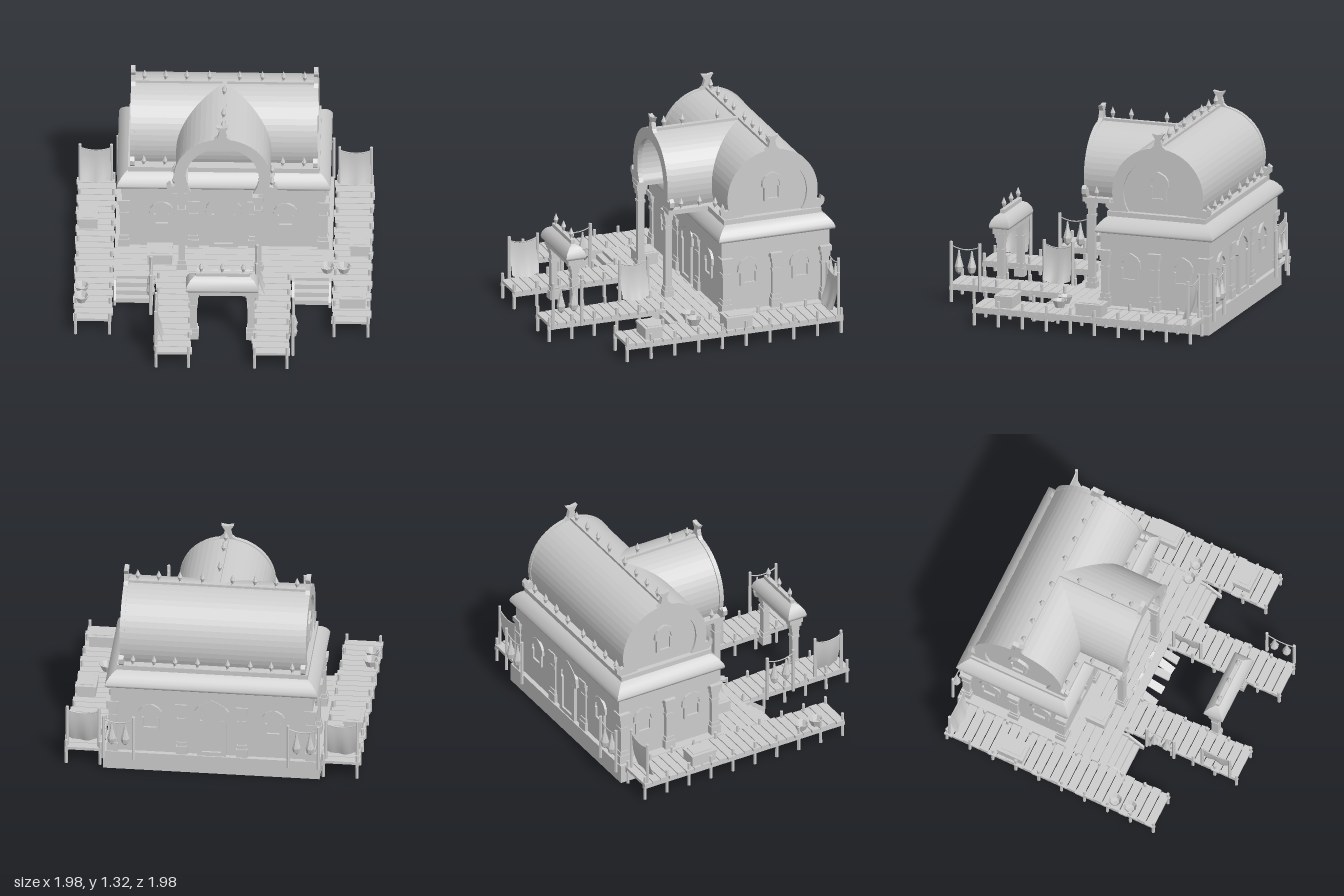
import * as THREE from 'three';

const grey = new THREE.MeshStandardMaterial({ color: 0xcccccc, side: THREE.DoubleSide });
const flat = new THREE.MeshStandardMaterial({ color: 0xcccccc, side: THREE.DoubleSide, flatShading: true });
const CZ = -0.525; // z of the main ridge

function place(parent, obj, name, x, y, z, ry = 0) {
  obj.name = name;
  obj.position.set(x, y, z);
  obj.rotation.y = ry;
  parent.add(obj);
  return obj;
}
const add = (p, name, geo, x = 0, y = 0, z = 0, mat = grey) => place(p, new THREE.Mesh(geo, mat), name, x, y, z);
const group = (p, name, x = 0, y = 0, z = 0, ry = 0) => place(p, new THREE.Group(), name, x, y, z, ry);
// Box given by its extents
const block = (p, name, x0, x1, y0, y1, z0, z1) =>
  add(p, name, new THREE.BoxGeometry(x1 - x0, y1 - y0, z1 - z0), (x0 + x1) / 2, (y0 + y1) / 2, (z0 + z1) / 2);
const vecs = pts => pts.map(p => new THREE.Vector2(...p));
const poly = pts => new THREE.Shape(vecs(pts));
const lathe = (pts, sides) => new THREE.LatheGeometry(vecs(pts), sides);
const extrude = (shape, depth) => new THREE.ExtrudeGeometry(shape, { depth, bevelEnabled: false });

// Horseshoe arch from right foot over the top to left foot
function horseshoe(r, cy, foot, n = 32) {
  const a0 = Math.asin((foot - cy) / r);
  return Array.from({ length: n + 1 }, (_, i) => {
    const a = a0 + (Math.PI - 2 * a0) * i / n;
    return [r * Math.cos(a), cy + r * Math.sin(a)];
  });
}
const archBand = (ro, ri, cy, foot) => poly([...horseshoe(ro, cy, foot), ...horseshoe(ri, cy, foot).reverse()]);

// Four curved slopes around a rectangle; profile is [outset, y]
function hipRoof(p, name, hx, hz, profile, x, z) {
  const g = group(p, name, x, 0, z);
  for (let k = 0; k < 4; k++) {
    const hn = k % 2 ? hx : hz, ht = k % 2 ? hz : hx, pos = [], idx = [];
    profile.forEach(([o, y], j) => {
      pos.push(-ht - o, y, hn + o, ht + o, y, hn + o);
      const b = 2 * j;
      if (j) idx.push(b - 2, b - 1, b + 1, b - 2, b + 1, b);
    });
    const geo = new THREE.BufferGeometry();
    geo.setAttribute('position', new THREE.Float32BufferAttribute(pos, 3));
    geo.setIndex(idx);
    geo.computeVertexNormals();
    add(g, 'roofSlope', geo).rotation.y = k * Math.PI / 2;
  }
}

const finialGeo = lathe([[0, 0], [0.011, 0.005], [0.007, 0.014], [0.018, 0.042], [0, 0.085]], 6);
const finial = (p, x, y, z) => add(p, 'finial', finialGeo, x, y, z, flat);

function column(p, x, z, y0, y1, w = 0.05) {
  const g = group(p, 'column', x, y0, z), h = y1 - y0;
  for (const [k, a, b] of [[1, 0, h], [1.5, 0, 0.06], [1.25, 0.06, 0.09], [1.2, h - 0.13, h - 0.11], [1.3, h - 0.07, h - 0.035], [1.65, h - 0.035, h]])
    block(g, 'columnTier', -w * k / 2, w * k / 2, a, b, -w * k / 2, w * k / 2);
}

// Arched window or door facing local +z, foot at y = 0
function archOpening(p, name, w, h, x, y, z, ry) {
  const g = group(p, name, x, y, z, ry), r = w / 2, t = w * 0.17;
  const outline = (r, top, foot) => {
    const half = [[0.8 * r, foot], [0.8 * r, top - r * 1.4], [r, top - r * 1.3], [0.95 * r, top - r * 0.75], [0.7 * r, top - r * 0.38], [0.3 * r, top - r * 0.14]];
    return [...half, [0, top], ...half.map(([a, b]) => [-a, b]).reverse()];
  };
  const frame = poly(outline(r, h, 0));
  frame.holes.push(new THREE.Path(vecs(outline(r - t, h - t * 1.3, t * 0.7))));
  add(g, 'archFrame', extrude(frame, 0.022));
  add(g, 'archPanel', extrude(poly(outline(r - t / 2, h - t / 2, 0.004)), 0.008));
}

// Horseshoe gable with flared crest and curled feet, facing local +z
function gable(p, x, z, ry, closed) {
  const g = group(p, 'gable', x, 0, z, ry);
  const crest = [[0.07, 1.2], [0.03, 1.235], [0.018, 1.28], [0.042, 1.32]];
  const foot = [[0.25, 0.765], [0.335, 0.765], [0.365, 0.795], [0.368, 0.83], [0.345, 0.85], [0.338, 0.82], [0.3, 0.83]];
  const mirror = pts => pts.map(([a, b]) => [-a, b]);
  add(g, 'gableArch', extrude(archBand(0.32, 0.243, 0.9, 0.77), 0.03));
  add(g, 'gableCrest', extrude(poly([...crest, [0, 1.312], ...mirror(crest).reverse()]), 0.03));
  for (const pts of [foot, mirror(foot)]) add(g, 'gableFoot', extrude(poly(pts), 0.03));
  if (closed) {
    add(g, 'gablePanel', extrude(poly(horseshoe(0.3, 0.9, 0.77)), 0.012));
    archOpening(g, 'gableWindow', 0.15, 0.2, 0, 0.86, 0.012, 0);
  }
}

const poleGeo = new THREE.CylinderGeometry(0.011, 0.012, 1, 6);
const pole = (p, x, z, y0, y1) => { add(p, 'post', poleGeo, x, (y0 + y1) / 2, z, flat).scale.y = y1 - y0; };

// Walkway of crosswise planks on posts
function walkway(p, x0, x1, z0, z1) {
  const g = group(p, 'walkway'), n = Math.round((z1 - z0) / 0.064), step = (z1 - z0) / n;
  for (let i = 0; i < n; i++) {
    const k = ((i * 7) % 5 - 2) * 0.003;
    block(g, 'plank', x0 + k, x1 + k, 0.108, 0.128, z0 + i * step, z0 + (i + 0.9) * step);
  }
  const m = Math.round((z1 - z0) / 0.17);
  for (const x of [x0 + 0.015, x1 - 0.015]) {
    block(g, 'joist', x - 0.01, x + 0.01, 0.085, 0.108, z0, z1);
    for (let i = 0; i <= m; i++) pole(g, x, z0 + 0.012 + (z1 - z0 - 0.024) * i / m, 0, 0.175);
  }
}

const bundleGeo = lathe([[0, 0], [0.022, 0.02], [0.03, 0.055], [0.012, 0.12], [0.005, 0.165]], 7);
// Two poles with a rope, carrying a cloth or two hanging bundles, along local x
function rack(p, name, w, x, z, ry, cloth) {
  const g = group(p, name, x, 0, z, ry);
  for (const s of [-1, 1]) pole(g, s * w / 2, 0, 0.1, 0.425);
  const rope = new THREE.QuadraticBezierCurve3(...[[-w / 2, 0.4, 0], [0, 0.35, 0], [w / 2, 0.4, 0]].map(a => new THREE.Vector3(...a)));
  add(g, 'rope', new THREE.TubeGeometry(rope, 10, 0.004, 5));
  if (!cloth) {
    for (const s of [-1, 1]) add(g, 'hangingBundle', bundleGeo, s * 0.045, 0.205, 0, flat);
    return;
  }
  const geo = new THREE.PlaneGeometry(w * 0.96, 0.23, 8, 6), q = geo.attributes.position;
  for (let i = 0; i < q.count; i++) {
    const u = q.getX(i) / (w / 2), v = (0.115 - q.getY(i)) / 0.23;
    q.setY(i, q.getY(i) - 0.025 * (1 - u * u));
    q.setZ(i, 0.045 * v * v + 0.008 * Math.sin(u * 6) * v);
  }
  geo.computeVertexNormals();
  add(g, 'cloth', geo, 0, 0.28, 0);
}

function crate(p, x0, x1, z0, z1) {
  for (const [name, inset, y0, y1] of [['crate', 0, 0.125, 0.195], ['crateLid', -0.005, 0.19, 0.208], ['crateLidPanel', 0.018, 0.2, 0.213]])
    block(p, name, x0 + inset, x1 - inset, y0, y1, z0 + inset, z1 - inset);
}

export function createModel() {
  const root = new THREE.Group();
  root.name = 'stiltHall';
  // Hollow plinth, floor and under-floor ribs
  const hall = group(root, 'hall');
  for (const x of [-0.7, 0.7]) block(hall, 'plinthSide', x - 0.02, x + 0.02, 0, 0.13, -0.92, -0.13);
  for (const z of [-0.92, -0.17]) block(hall, 'plinthWall', -0.68, 0.68, 0, 0.13, z, z + 0.04);
  block(hall, 'floor', -0.69, 0.69, 0.09, 0.129, -0.89, -0.15);
  for (const x of [-0.6, -0.2, 0.2, 0.6]) block(hall, 'floorRib', x - 0.01, x + 0.01, 0, 0.1, -0.55, -0.1);
  // Walls, frieze, columns and openings
  block(hall, 'walls', -0.655, 0.655, 0.13, 0.52, -0.89, -0.16);
  block(hall, 'frieze', -0.672, 0.672, 0.505, 0.64, -0.907, -0.143);
  for (const z of [-0.175, -0.875]) for (const x of [-0.66, -0.2, 0.2, 0.66]) column(hall, x, z, 0.13, 0.515);
  for (const s of [-1, 1]) {
    column(hall, s * 0.66, CZ, 0.13, 0.515);
    for (const z of [-0.34, -0.71]) archOpening(hall, 'sideWindow', 0.16, 0.2, s * 0.65, 0.305, z, s * Math.PI / 2);
    archOpening(hall, 'frontWindow', 0.16, 0.2, s * 0.41, 0.305, -0.165, 0);
    archOpening(hall, 'backWindow', 0.16, 0.2, s * 0.41, 0.305, -0.885, Math.PI);
  }
  archOpening(hall, 'frontDoor', 0.24, 0.43, 0, 0.13, -0.165, 0);
  archOpening(hall, 'backDoor', 0.24, 0.43, 0, 0.13, -0.89, Math.PI);
  // Rounded eaves and cornice
  hipRoof(hall, 'eaves', 0.64, 0.345, [[0, 0.63], [0.065, 0.635], [0.068, 0.65], [0.058, 0.675], [0.04, 0.7], [0.018, 0.722], [-0.012, 0.738]], 0, CZ);
  block(hall, 'cornice', -0.635, 0.635, 0.732, 0.768, -0.865, -0.175);
  // Barrel roofs with gables, ridges and finials
  const roof = group(root, 'barrelRoofs'), shell = archBand(0.315, 0.295, 0.9, 0.765);
  add(roof, 'mainBarrel', extrude(shell, 1.2), -0.6, 0, CZ).rotation.y = Math.PI / 2;
  add(roof, 'porchBarrel', extrude(shell, 0.605), 0, 0, CZ);
  for (const s of [-1, 1]) gable(roof, s * 0.59, CZ, s * Math.PI / 2, true);
  gable(roof, -0.005, 0.072, 0, false);
  block(roof, 'mainRidge', -0.59, 0.59, 1.205, 1.232, CZ - 0.015, CZ + 0.015);
  block(roof, 'porchRidge', -0.015, 0.015, 1.205, 1.232, CZ, 0.08);
  for (const x of [-0.53, -0.39, -0.25, -0.1, 0.1, 0.25, 0.39, 0.53]) {
    finial(roof, x, 1.228, CZ);
    finial(roof, x, 0.762, -0.845);
    if (Math.abs(x) > 0.35) finial(roof, x, 0.762, -0.205);
  }
  for (const z of [-0.37, -0.12, 0.01]) finial(roof, 0, 1.228, z);
  // Porch supports
  for (const s of [-1, 1]) {
    for (const z of [-0.12, 0.01]) finial(roof, s * 0.322, 0.762, z);
    block(root, 'porchBeam', s * 0.285 - 0.05, s * 0.285 + 0.05, 0.735, 0.767, -0.2, 0.105);
    column(root, s * 0.253 - 0.02, 0.072, 0.11, 0.74, 0.045);
  }
  // Cross deck with lengthwise planks, then four walkways
  for (let i = 0; i < 5; i++) block(root, 'deckPlank', -0.725, 0.73, 0.105, 0.128, -0.13 + i * 0.062, -0.072 + i * 0.062);
  for (const [x0, x1, z0, z1] of [[-0.98, -0.725, -0.89, 0.65], [0.73, 0.985, -0.89, 0.65], [-0.44, -0.195, 0.18, 1], [0.21, 0.455, 0.18, 1]])
    walkway(root, x0, x1, z0, z1);
  // Sagging broken planks in the middle
  [-0.155, -0.06, 0.035, 0.1, 0.17].forEach((x, i) => add(root, 'brokenPlank', new THREE.BoxGeometry(0.055, 0.014, 0.19), x, 0.09, 0.185)
    .rotation.set(0.4, (i % 3 - 1) * 0.1, 0.12 * (i % 2 ? 1 : -1)));
  // Stairs beside the piers
  const stairSide = extrude(poly([[-0.17, 0], [-0.33, 0], [-0.33, 0.04], [-0.22, 0.128], [-0.17, 0.128]]), 0.016);
  for (const cx of [-0.59, 0.59]) {
    for (let i = 0; i < 3; i++) block(root, 'step', cx - 0.12, cx + 0.12, 0, 0.105 - i * 0.035, 0.17 + i * 0.04, 0.22 + i * 0.04);
    for (const e of [-0.13, 0.114]) add(root, 'stairSide', stairSide, cx + e).rotation.y = Math.PI / 2;
  }
  // Gate between the piers
  const gate = group(root, 'gate', 0.008, 0, 0.722);
  for (const x of [-0.19, 0.19]) column(gate, x, 0, 0.05, 0.44, 0.045);
  block(gate, 'gateBeam', -0.225, 0.225, 0.43, 0.48, -0.05, 0.05);
  hipRoof(gate, 'gateRoof', 0.2, 0.03, [[0, 0.47], [0.038, 0.472], [0.041, 0.488], [0.032, 0.52], [0.012, 0.548], [-0.02, 0.566]], 0, 0);
  block(gate, 'gateRidge', -0.175, 0.175, 0.56, 0.59, -0.014, 0.014);
  for (const x of [-0.14, 0, 0.14]) finial(gate, x, 0.585, 0);
  // Hanging cloths and drying racks
  for (const s of [-1, 1]) {
    rack(root, 'clothRack', 0.21, s * 0.86, -0.86, 0, true);
    rack(root, 'dryingRack', 0.2, s * 0.615, -0.955, 0, false);
  }
  for (const [x, z, cloth] of [[0.23, 0.31, true], [-0.43, 0.84, true], [-0.47, 0.45, false], [0.48, 0.875, false]])
    rack(root, cloth ? 'clothRack' : 'dryingRack', 0.2, x, z, Math.PI / 2, cloth);
  // Crates and bowls
  for (const [x0, x1, z0, z1] of [[0.78, 0.95, 0.38, 0.5], [0.84, 0.965, -0.25, -0.07], [-0.96, -0.84, -0.51, -0.33], [-0.5, -0.34, -0.08, 0.05]])
    crate(root, x0, x1, z0, z1);
  const bowl = lathe([[0, 0], [0.03, 0], [0.052, 0.05], [0.045, 0.05], [0.028, 0.015], [0, 0.012]], 8);
  for (const [x, z] of [[0.69, 0.1], [0.8, 0.1], [-0.93, 0.34], [-0.93, 0.45]]) add(root, 'bowl', bowl, x, 0.128, z, flat);
  return root;
}
